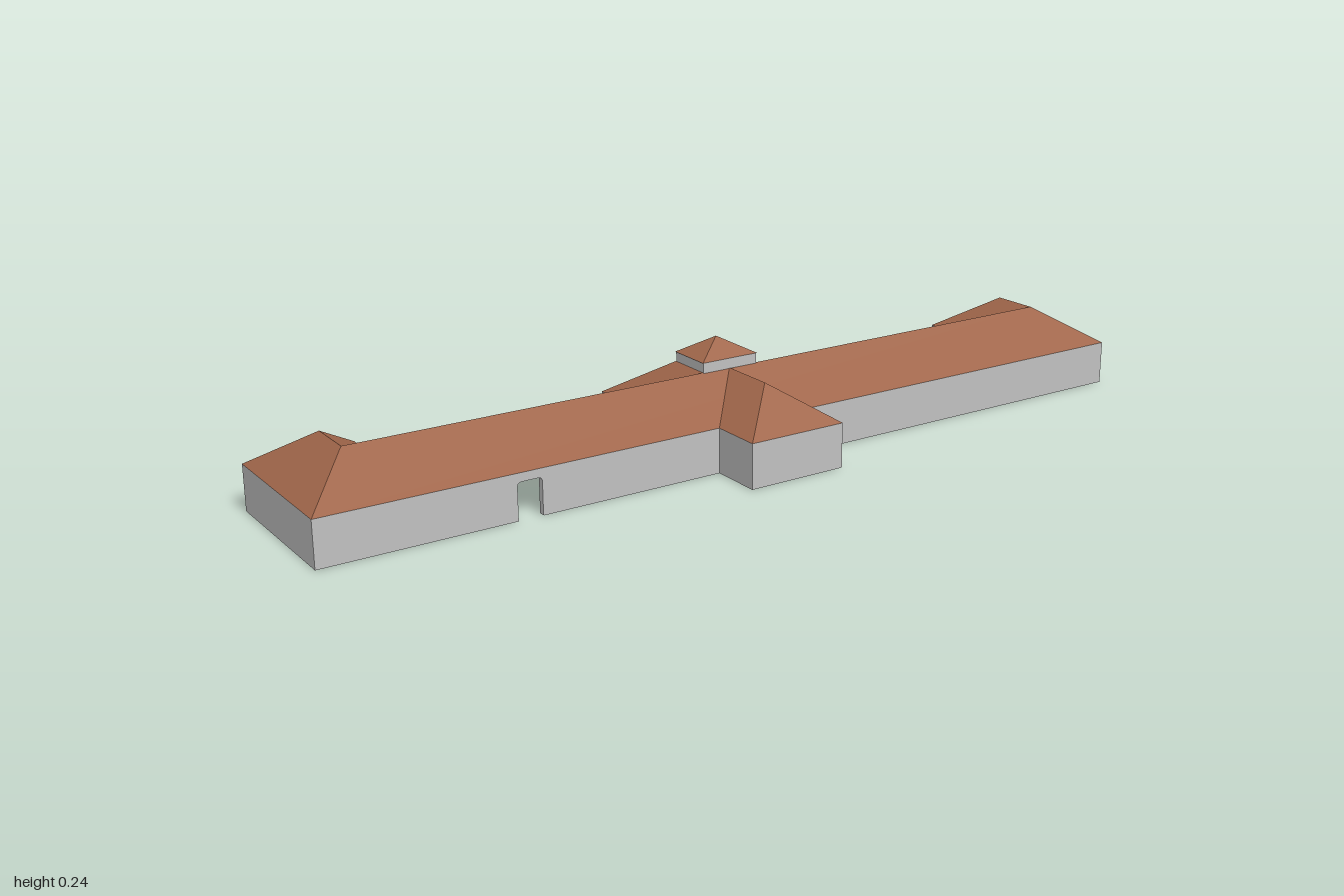
import * as THREE from 'three';

const EAVE = 0.099, RIDGE = 0.177;

// Frustum with independent bottom and top rectangles, no underside
function frustum([x0, x1, z0, z1], [tx0, tx1, tz0, tz1], y0, y1) {
  const b = [[x0, y0, z1], [x1, y0, z1], [x1, y0, z0], [x0, y0, z0]];
  const t = [[tx0, y1, tz1], [tx1, y1, tz1], [tx1, y1, tz0], [tx0, y1, tz0]];
  const pos = [];
  const quad = (p, q, r, s) => pos.push(...p, ...q, ...r, ...p, ...r, ...s);
  for (let i = 0; i < 4; i++) {
    const j = (i + 1) % 4;
    // a collapsed top edge leaves a single triangle
    if (t[i].every((v, k) => v === t[j][k])) pos.push(...b[i], ...b[j], ...t[i]);
    else quad(b[i], b[j], t[j], t[i]);
  }
  if (tx1 > tx0 && tz1 > tz0) quad(...t);
  const g = new THREE.BufferGeometry();
  g.setAttribute('position', new THREE.Float32BufferAttribute(pos, 3));
  g.computeVertexNormals();
  return g;
}

// Doorway outline with rounded upper corners, from lower left to lower right
function doorway(path, x0, x1, h, r) {
  path.lineTo(x0, 0);
  path.lineTo(x0, h - r);
  path.quadraticCurveTo(x0, h, x0 + r, h);
  path.lineTo(x1 - r, h);
  path.quadraticCurveTo(x1, h, x1, h - r);
  path.lineTo(x1, 0);
}

export function createModel() {
  const model = new THREE.Group();
  const wallGrey = new THREE.MeshStandardMaterial({ color: 0xc0c0c0, side: THREE.DoubleSide });
  wallGrey.name = 'wallGrey';
  const roofBrown = new THREE.MeshStandardMaterial({ color: 0xa0664a });
  roofBrown.name = 'roofBrown';

  const add = (name, geometry, material, x = 0, y = 0, z = 0) => {
    const mesh = new THREE.Mesh(geometry, material);
    mesh.name = name;
    mesh.position.set(x, y, z);
    model.add(mesh);
    return mesh;
  };
  const box = (name, w, h, d, x, y, z) =>
    add(name, new THREE.BoxGeometry(w, h, d), wallGrey, x, y, z);

  // Footprint: right half from front to back, mirrored for the other side
  const half = [[0.115, 0.248], [0.115, 0.13], [1, 0.13], [1, -0.222],
    [0.767, -0.222], [0.767, -0.125], [0.187, -0.125], [0.187, -0.222]];
  const plan = [...half, ...half.map(([x, z]) => [-x, z]).reverse()];

  // Thin outer walls, one per footprint edge, with a doorway in the front
  const doorL = -0.585, doorR = -0.53, doorH = 0.08;
  plan.forEach(([ax, az], i) => {
    const [bx, bz] = plan[(i + 1) % plan.length];
    const len = Math.hypot(bx - ax, bz - az);
    const s = new THREE.Shape();
    s.moveTo(0, 0);
    if (ax === -1 && az === 0.13) doorway(s, doorL - ax, doorR - ax, doorH, 0.01);
    s.lineTo(len, 0);
    s.lineTo(len, EAVE);
    s.lineTo(0, EAVE);
    add('wall', new THREE.ShapeGeometry(s), wallGrey, ax, 0, az)
      .rotation.y = Math.atan2(az - bz, bx - ax);
  });

  // Doorway lining behind the front wall
  const lining = new THREE.Shape();
  lining.moveTo(doorL - 0.004, 0);
  doorway(lining, doorL, doorR, doorH, 0.01);
  lining.lineTo(doorR + 0.004, 0);
  lining.lineTo(doorR + 0.004, doorH + 0.004);
  lining.lineTo(doorL - 0.004, doorH + 0.004);
  add('doorLining', new THREE.ExtrudeGeometry(lining, { depth: 0.014, bevelEnabled: false }),
    wallGrey, 0, 0, 0.115);

  // Flat ceiling at eave level
  const ceiling = new THREE.Shape(plan.map(([x, z]) => new THREE.Vector2(x, -z)));
  add('ceiling', new THREE.ShapeGeometry(ceiling), wallGrey, 0, EAVE - 0.001, 0)
    .rotation.x = -Math.PI / 2;

  // Hipped roofs
  const roof = (name, base, top, y0 = EAVE, y1 = RIDGE) =>
    add(name, frustum(base, top, y0, y1), roofBrown);
  roof('mainRoof', [-1, 1, -0.125, 0.13], [-0.883, 0.883, 0, 0]);
  roof('leftWingRoof', [0.767, 1, -0.222, 0], [0.883, 0.883, -0.107, 0]);
  roof('rightWingRoof', [-1, -0.767, -0.222, 0], [-0.883, -0.883, -0.107, 0]);
  roof('frontWingRoof', [-0.115, 0.115, 0, 0.248], [0, 0, 0, 0.13]);
  roof('backWingRoof', [-0.187, 0.187, -0.222, 0], [-0.07, 0.07, -0.105, 0]);

  // Small roof lantern with pyramid cap
  box('lanternBase', 0.136, 0.03, 0.106, 0, 0.184, -0.051);
  roof('lanternRoof', [-0.07, 0.07, -0.105, 0.003], [0, 0, -0.051, -0.051], 0.199, 0.236);

  // Back porch: open frame with a step
  for (const s of [-1, 1]) box('porchPost', 0.01, EAVE, 0.02, s * 0.064, EAVE / 2, -0.232);
  box('porchLintel', 0.118, 0.01, 0.02, 0, EAVE - 0.005, -0.232);
  box('porchStep', 0.138, 0.006, 0.026, 0, 0.003, -0.235);

  return model;
}
